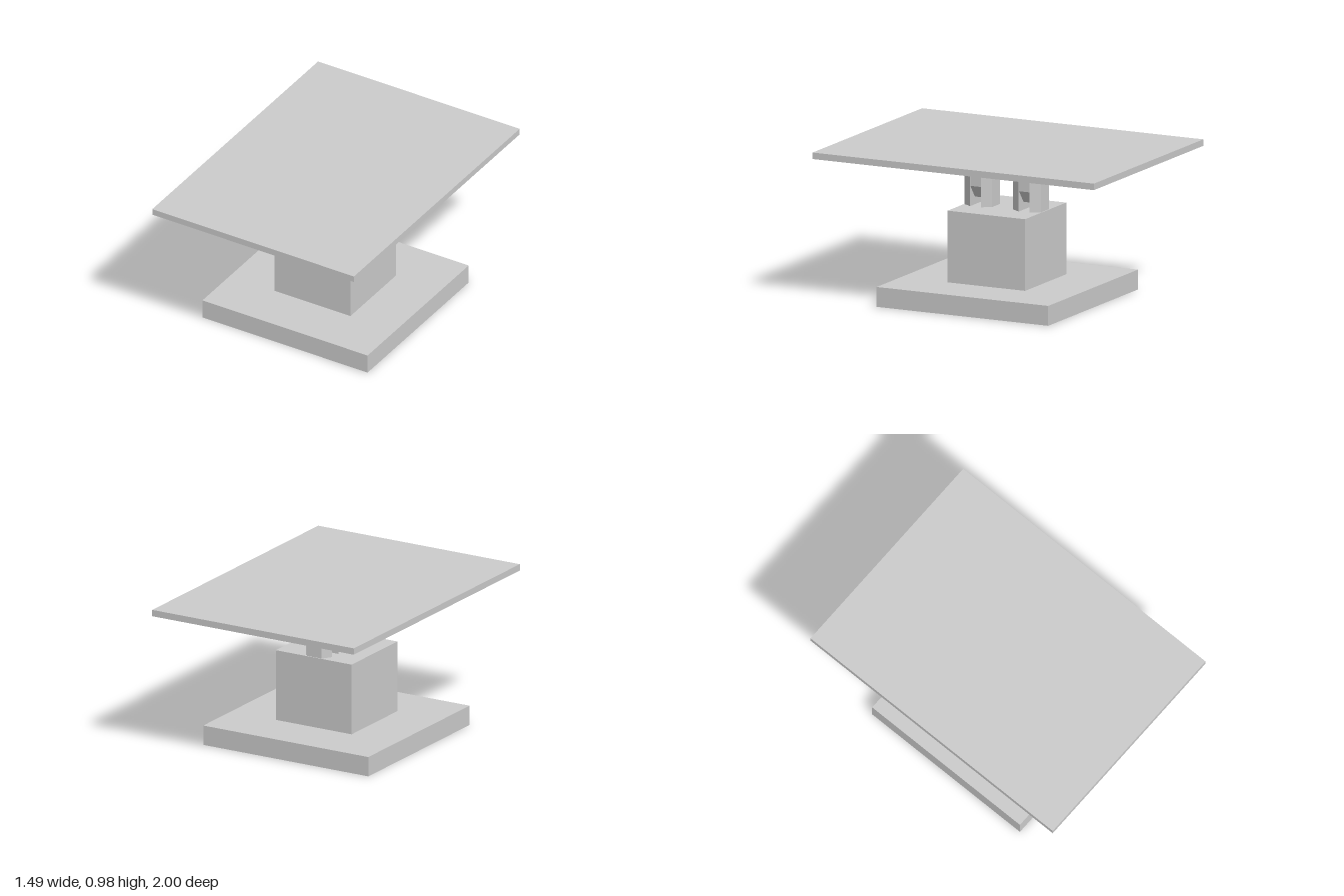
import * as THREE from 'three';

const material = new THREE.MeshStandardMaterial({ color: 0xcccccc, flatShading: true });

// Box given by its extents along each axis
function block(name, [x0, x1], [y0, y1], [z0, z1]) {
  const mesh = new THREE.Mesh(new THREE.BoxGeometry(x1 - x0, y1 - y0, z1 - z0), material);
  mesh.position.set((x0 + x1) / 2, (y0 + y1) / 2, (z0 + z1) / 2);
  mesh.name = name;
  return mesh;
}

// Prism extruded along z from a polygon
function prism(name, points, depth) {
  const shape = new THREE.Shape(points.map(([x, y]) => new THREE.Vector2(x, y)));
  const geometry = new THREE.ExtrudeGeometry(shape, { depth, bevelEnabled: false });
  const mesh = new THREE.Mesh(geometry, material);
  mesh.name = name;
  return mesh;
}

// Clevis joint: two cheeks that narrow outwards, holding a tapered hanger
function createJoint(name, z) {
  const joint = new THREE.Group();
  joint.name = name;
  joint.position.z = z;

  const inner = 0.038, thickness = 0.06, bottom = 0.59, height = 0.2;
  for (const side of [1, -1]) {
    const near = -side * inner, far = -side * (inner + thickness);
    const plan = [[-0.095, near], [0.095, near], [0.055, far], [-0.055, far]];
    const cheek = prism(side > 0 ? 'frontCheek' : 'backCheek', plan, height);
    cheek.rotation.x = -Math.PI / 2;
    cheek.position.y = bottom;
    joint.add(cheek);
  }

  const outline = [[-0.03, 0.64], [0.03, 0.64], [0.091, 0.72], [0.091, 0.94], [-0.091, 0.94], [-0.091, 0.72]];
  const hanger = prism('hanger', outline, inner * 2);
  hanger.position.z = -inner;
  joint.add(hanger);
  return joint;
}

export function createModel() {
  const model = new THREE.Group();
  model.name = 'pedestalTable';
  model.add(
    block('base', [-0.61, 0.61], [0, 0.128], [-0.605, 0.615]),
    block('pedestal', [-0.28, 0.28], [0.128, 0.59], [-0.268, 0.283]),
    createJoint('frontJoint', 0.182),
    createJoint('backJoint', -0.164),
    block('tableTop', [-0.745, 0.745], [0.94, 0.982], [-1, 1]),
  );
  return model;
}
